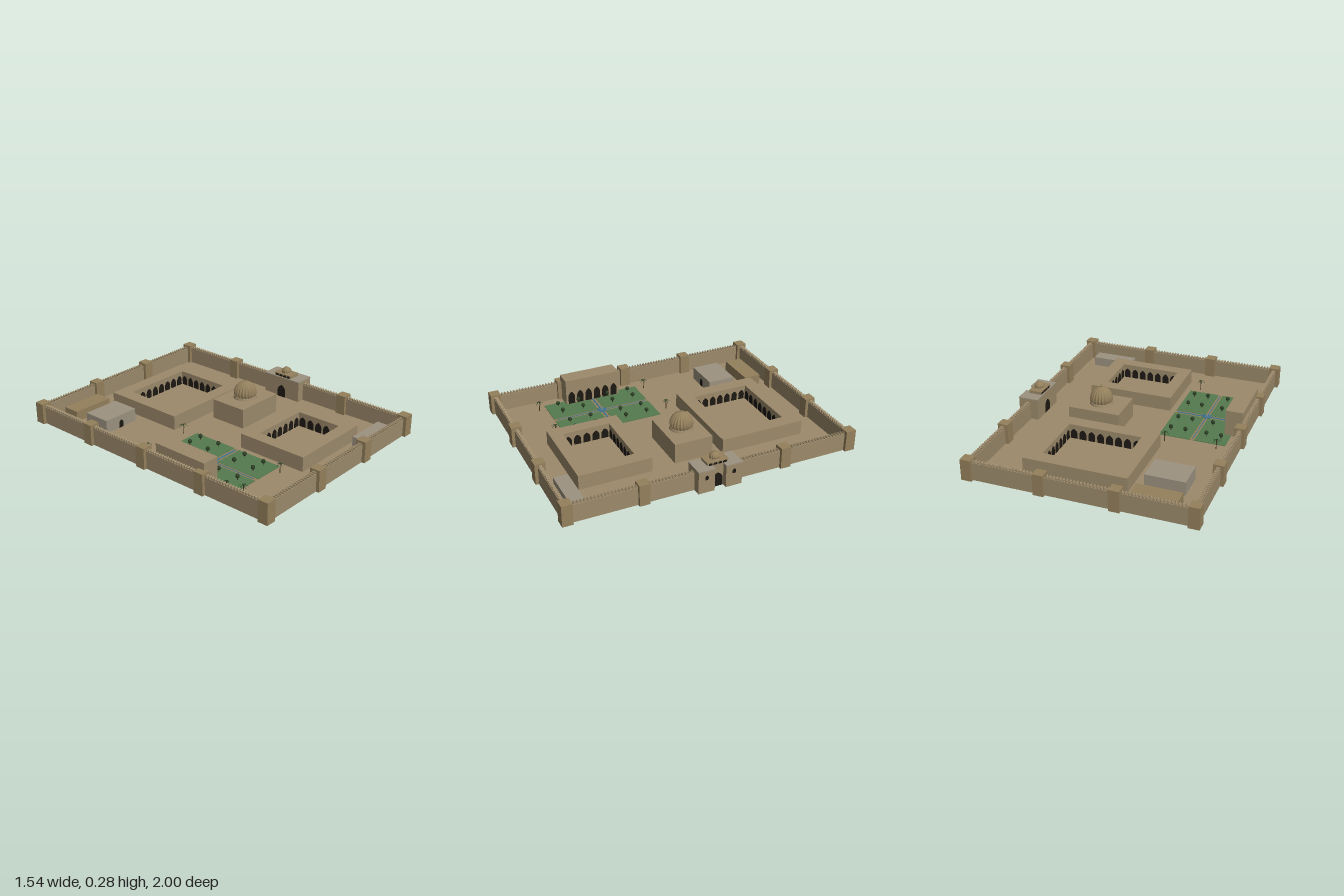
import * as THREE from 'three';
import { mergeGeometries } from 'three/addons/utils/BufferGeometryUtils.js';

const mat = (color, side = THREE.FrontSide) => new THREE.MeshStandardMaterial({ color, side });
const sand = mat(0x9c8a6b), ochre = mat(0x94805c), pale = mat(0x9c9280), dark = mat(0x1d1914);
const lawn = mat(0x557a4f), water = mat(0x3f7590), leaf = mat(0x2c3f24, THREE.DoubleSide), wood = mat(0x4d3d28);
const GROUND = 0.006;

function add(parent, name, geometry, material, x = 0, y = 0, z = 0) {
  const mesh = new THREE.Mesh(geometry, material);
  mesh.name = name;
  mesh.position.set(x, y, z);
  parent.add(mesh);
  return mesh;
}

// Box given by its extents on each axis
function block(parent, name, [x0, x1], [y0, y1], [z0, z1], material = sand) {
  return add(parent, name, new THREE.BoxGeometry(x1 - x0, y1 - y0, z1 - z0), material,
    (x0 + x1) / 2, (y0 + y1) / 2, (z0 + z1) / 2);
}

// Pointed arch panel, facing +z before it is turned about y
function archGeometry(w, h, depth = 0.004) {
  const s = new THREE.Shape();
  s.moveTo(-w / 2, 0);
  s.lineTo(w / 2, 0);
  s.lineTo(w / 2, h * 0.6);
  s.quadraticCurveTo(w * 0.45, h * 0.85, 0, h);
  s.quadraticCurveTo(-w * 0.45, h * 0.85, -w / 2, h * 0.6);
  return new THREE.ExtrudeGeometry(s, { depth, bevelEnabled: false, curveSegments: 5 }).translate(0, 0, -depth / 2);
}

function arch(parent, name, w, h, x, y, z, turn) {
  add(parent, name, archGeometry(w, h), dark, x, y, z).rotation.y = turn;
}

// Row of arches along one wall, centred on (x, z)
function arcade(parent, length, pitch, h, x, y, z, turn) {
  const n = Math.round(length / pitch), step = length / n, parts = [];
  for (let i = 0; i < n; i++) {
    parts.push(archGeometry(step * 0.75, h).translate((i - (n - 1) / 2) * step, 0, 0));
  }
  add(parent, 'arcade', mergeGeometries(parts), dark, x, y, z).rotation.y = turn;
}

// Flat-roofed block around an open arcaded courtyard
function courtyardBuilding(parent, [x0, x1], [z0, z1], [a0, a1], [b0, b1], h) {
  const g = new THREE.Group();
  g.name = 'courtyardBuilding';
  const rect = (C, l, r, n, f) => new C([[l, -f], [r, -f], [r, -n], [l, -n]].map(p => new THREE.Vector2(...p)));
  const s = rect(THREE.Shape, x0, x1, z0, z1);
  s.holes.push(rect(THREE.Path, a0, a1, b0, b1));
  add(g, 'courtyardWalls', new THREE.ExtrudeGeometry(s, { depth: h, bevelEnabled: false }).rotateX(-Math.PI / 2), sand, 0, 0.002);
  const cx = (a0 + a1) / 2, cz = (b0 + b1) / 2, ah = 0.075;
  arcade(g, a1 - a0, 0.06, ah, cx, 0, b0, 0);
  arcade(g, a1 - a0, 0.06, ah, cx, 0, b1, Math.PI);
  arcade(g, b1 - b0, 0.06, ah, a0, 0, cz, Math.PI / 2);
  arcade(g, b1 - b0, 0.06, ah, a1, 0, cz, -Math.PI / 2);
  parent.add(g);
}

// Lathe dome whose surface swells outward between grooves
function ribbedDome(r, h, ribs) {
  const pts = [[0.94, 0], [1, 0.14], [1, 0.3], [0.94, 0.47], [0.8, 0.66], [0.57, 0.82], [0.3, 0.93], [0.001, 1]];
  const curve = new THREE.SplineCurve(pts.map(([a, b]) => new THREE.Vector2(a * r, b * h)));
  const geo = new THREE.LatheGeometry(curve.getPoints(18), ribs * 6);
  const p = geo.attributes.position;
  for (let i = 0; i < p.count; i++) {
    const a = Math.atan2(p.getX(i), p.getZ(i));
    const k = 0.88 + 0.12 * Math.abs(Math.sin(a * ribs / 2));
    p.setXYZ(i, p.getX(i) * k, p.getY(i), p.getZ(i) * k);
  }
  geo.computeVertexNormals();
  return geo;
}

function dome(parent, name, x, y, z, r, h, ribs) {
  add(parent, name, ribbedDome(r, h, ribs), ochre, x, y, z);
  add(parent, name + 'Finial', new THREE.ConeGeometry(r * 0.06, h * 0.18, 8), wood, x, y + h * 1.06, z);
  add(parent, name + 'FinialBall', new THREE.SphereGeometry(r * 0.08, 10, 8), ochre, x, y + h * 1.01, z);
}

// Wall between two points with a row of pointed merlons
function wall(parent, xa, za, xb, zb) {
  const length = Math.hypot(xb - xa, zb - za), g = new THREE.Group();
  g.name = 'perimeterWall';
  add(g, 'wall', new THREE.BoxGeometry(length, 0.12, 0.028), sand, 0, 0.06);
  const s = new THREE.Shape([[-0.005, 0], [0.005, 0], [0.0065, 0.008], [0, 0.015], [-0.0065, 0.008]].map(p => new THREE.Vector2(...p)));
  const n = Math.round(length / 0.0215), parts = [];
  for (let i = 0; i < n; i++) {
    parts.push(new THREE.ExtrudeGeometry(s, { depth: 0.022, bevelEnabled: false })
      .translate(((i + 0.5) / n - 0.5) * length, 0.1195, -0.011));
  }
  add(g, 'merlons', mergeGeometries(parts), sand);
  g.position.set((xa + xb) / 2, 0, (za + zb) / 2);
  g.rotation.y = -Math.atan2(zb - za, xb - xa);
  parent.add(g);
}

function palm(parent, x, z) {
  const g = new THREE.Group();
  g.name = 'palm';
  add(g, 'palmTrunk', new THREE.CylinderGeometry(0.002, 0.0035, 0.066, 7), wood, 0, 0.033);
  for (let i = 0; i < 6; i++) {
    const frond = new THREE.PlaneGeometry(0.032, 0.007, 4, 1).rotateX(-Math.PI / 2).translate(0.016, 0, 0);
    const p = frond.attributes.position;
    for (let j = 0; j < p.count; j++) {
      const t = p.getX(j) / 0.032;
      p.setY(j, 0.008 * t - 0.018 * t * t);
      p.setZ(j, p.getZ(j) * (1 - 0.7 * t));
    }
    frond.computeVertexNormals();
    add(g, 'palmFrond', frond, leaf, 0, 0.067).rotation.y = i * Math.PI / 3;
  }
  g.position.set(x, GROUND, z);
  parent.add(g);
}

function garden(parent) {
  const g = new THREE.Group(), cx = -0.43, cz = 0.295;
  g.name = 'garden';
  for (const [x0, x1] of [[-0.655, -0.445], [-0.415, -0.205]]) {
    for (const [z0, z1] of [[-0.05, 0.275], [0.315, 0.64]]) block(g, 'lawn', [x0, x1], [0, 0.01], [z0, z1], lawn);
  }
  // Crossing paths and channels
  block(g, 'path', [-0.655, -0.205], [0, 0.008], [cz - 0.02, cz + 0.02], ochre);
  block(g, 'path', [cx - 0.015, cx + 0.015], [0, 0.0085], [-0.05, 0.64], ochre);
  block(g, 'channel', [-0.62, -0.22], [0.001, 0.0105], [cz - 0.006, cz + 0.006], water);
  block(g, 'channel', [cx - 0.003, cx + 0.003], [0.001, 0.0105], [-0.03, 0.62], water);
  // Eight-pointed pool
  const star = new THREE.Shape(Array.from({ length: 16 }, (_, i) => {
    const r = i % 2 ? 0.024 : 0.036, a = i * Math.PI / 8;
    return new THREE.Vector2(r * Math.cos(a), r * Math.sin(a));
  }));
  add(g, 'pool', new THREE.ExtrudeGeometry(star, { depth: 0.014, bevelEnabled: false }).rotateX(-Math.PI / 2), water, cx, 0, cz);
  add(g, 'fountain', new THREE.CylinderGeometry(0.003, 0.006, 0.014, 8), pale, cx, 0.02, cz);
  for (const x of [-0.605, -0.505, -0.36, -0.26]) {
    for (const z of [0.03, 0.185, 0.405, 0.555]) {
      add(g, 'shrubTrunk', new THREE.CylinderGeometry(0.0025, 0.0025, 0.02, 6), wood, x, 0.02, z);
      add(g, 'shrubCrown', new THREE.SphereGeometry(0.014, 10, 8), leaf, x, 0.037, z);
    }
  }
  for (const [x, z] of [[-0.61, -0.1], [-0.265, -0.12], [-0.61, 0.69], [-0.265, 0.69]]) palm(g, x, z);
  parent.add(g);
}

function gatehouse(parent) {
  const g = new THREE.Group();
  g.name = 'gatehouse';
  block(g, 'gateBlock', [0.632, 0.73], [0, 0.153], [-0.04, 0.04]);
  arch(g, 'gateArch', 0.066, 0.095, 0.731, 0, 0, Math.PI / 2);
  arch(g, 'gateArch', 0.066, 0.095, 0.632, 0, 0, -Math.PI / 2);
  for (const s of [-1, 1]) {
    add(g, 'gateTower', new THREE.BoxGeometry(0.136, 0.15, 0.11), sand, 0.7, 0.075, s * 0.093);
    add(g, 'gateTowerCap', new THREE.BoxGeometry(0.14, 0.007, 0.114), pale, 0.7, 0.1525, s * 0.093);
    arch(g, 'gateWindow', 0.022, 0.03, 0.768, 0.09, s * 0.093, Math.PI / 2);
  }
  // Arcaded kiosk and small dome over the passage
  block(g, 'kiosk', [0.642, 0.728], [0.15, 0.173], [-0.07, 0.07]);
  block(g, 'kioskCornice', [0.638, 0.732], [0.173, 0.177], [-0.073, 0.073], ochre);
  arcade(g, 0.13, 0.032, 0.016, 0.728, 0.156, 0, Math.PI / 2);
  arcade(g, 0.13, 0.032, 0.016, 0.642, 0.156, 0, -Math.PI / 2);
  add(g, 'smallDrum', new THREE.CylinderGeometry(0.032, 0.035, 0.006, 24), sand, 0.685, 0.179, 0);
  dome(g, 'smallDome', 0.685, 0.18, 0, 0.034, 0.04, 12);
  parent.add(g);
}

export function createModel() {
  const model = new THREE.Group();
  model.name = 'walledCompound';
  block(model, 'ground', [-0.74, 0.7], [0.002, GROUND], [-0.965, 0.965]);

  // Perimeter walls and towers; the +x side breaks for the gate
  const W = -0.74, E = 0.7, N = -0.965, S = 0.965;
  wall(model, W, N, E, N);
  wall(model, W, S, E, S);
  wall(model, W, N, W, S);
  wall(model, E, N, E, -0.145);
  wall(model, E, 0.145, E, S);
  for (const x of [W, -0.26, 0.22, E]) {
    for (const z of [N, -0.4825, 0, 0.4825, S]) {
      const edge = Math.abs(z) === S || x === W || (x === E && z !== 0);
      if (edge) add(model, 'tower', new THREE.BoxGeometry(0.07, 0.143, 0.07), ochre, x, 0.0715, z);
    }
  }
  gatehouse(model);

  courtyardBuilding(model, [-0.265, 0.425], [-0.79, -0.2], [-0.17, 0.33], [-0.695, -0.295], 0.103);
  courtyardBuilding(model, [-0.165, 0.425], [0.295, 0.785], [-0.08, 0.335], [0.38, 0.7], 0.103);

  // Domed hall
  block(model, 'domedHall', [0.05, 0.405], [0.002, 0.142], [-0.135, 0.13]);
  add(model, 'drum', new THREE.CylinderGeometry(0.076, 0.08, 0.016, 40), sand, 0.225, 0.149, 0);
  dome(model, 'largeDome', 0.225, 0.155, 0, 0.077, 0.107, 20);

  // Service buildings
  block(model, 'arcadedHall', [-0.728, -0.61], [0.002, 0.188], [0.095, 0.49]);
  arcade(model, 0.38, 0.0633, 0.095, -0.61, GROUND, 0.2925, Math.PI / 2);
  block(model, 'house', [-0.595, -0.335], [0.002, 0.095], [-0.695, -0.5], pale);
  arch(model, 'houseDoor', 0.036, 0.055, -0.465, GROUND, -0.5, 0);
  block(model, 'storehouse', [-0.61, -0.315], [0.002, 0.08], [-0.9, -0.78], ochre);
  block(model, 'lowHouse', [0.325, 0.62], [0.002, 0.07], [0.815, 0.91], pale);

  garden(model);
  return model;
}
